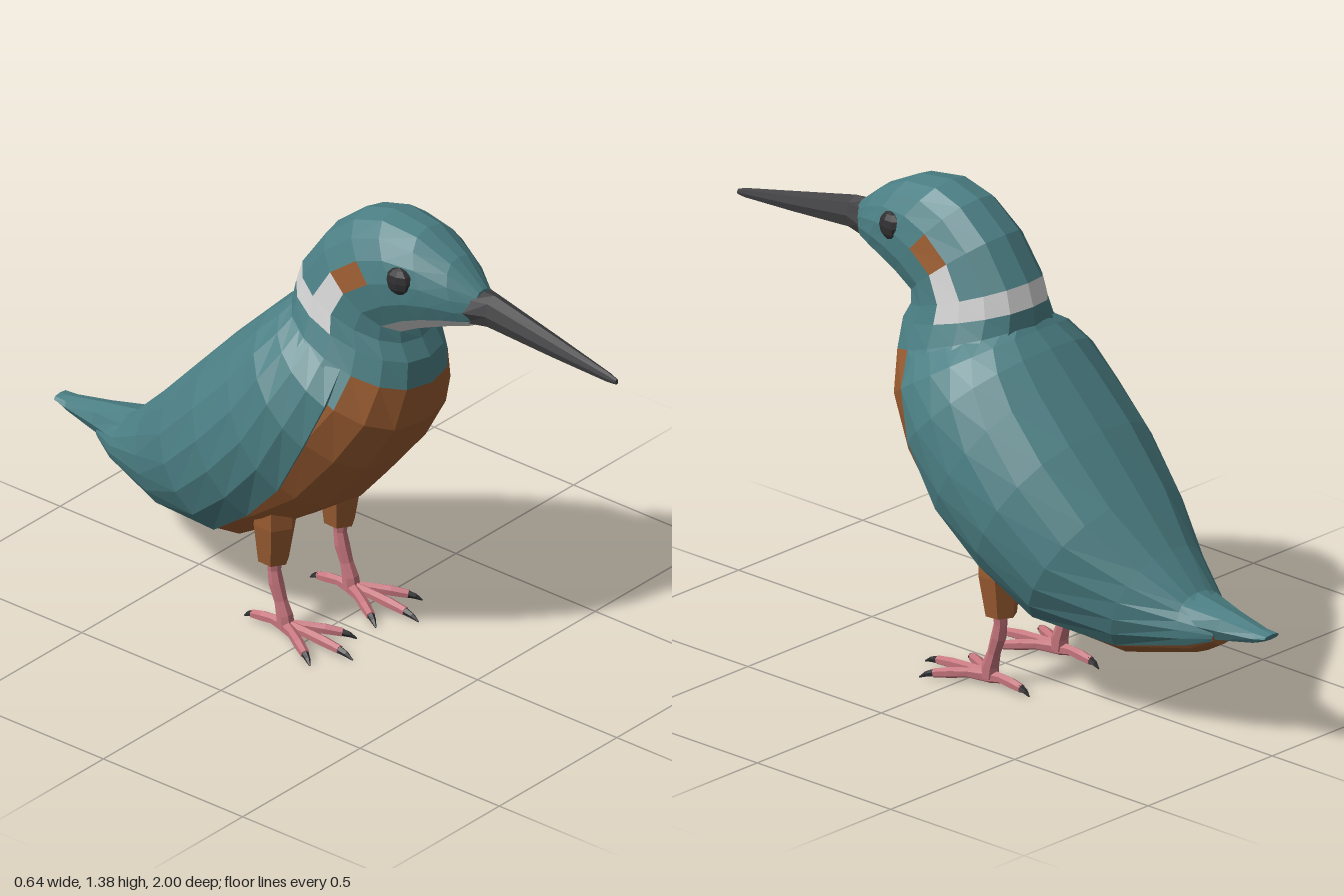
import * as THREE from 'three';

const mat = (name, color, extra = {}) =>
  Object.assign(new THREE.MeshStandardMaterial({ color, flatShading: true, ...extra }), { name });

// Skin a list of point rings; pick(i, j) gives the material index of each cell.
function loft(name, rings, mats, pick = () => 0) {
  const cells = mats.map(() => []);
  for (let i = 0; i < rings.length - 1; i++) {
    for (let j = 0; j < rings[i].length - 1; j++) {
      const a = rings[i][j], b = rings[i + 1][j], c = rings[i + 1][j + 1], d = rings[i][j + 1];
      cells[pick(i, j)].push(a, b, c, a, c, d);
    }
  }
  const geo = new THREE.BufferGeometry().setFromPoints(cells.flat());
  let start = 0;
  cells.forEach((c, k) => {
    geo.addGroup(start, c.length, k);
    start += c.length;
  });
  geo.computeVertexNormals();
  const mesh = new THREE.Mesh(geo, mats);
  mesh.name = name;
  return mesh;
}

// Angles round a closed section, starting and ending at the top.
const turn = (n) => Array.from({ length: n + 1 }, (_, k) => (k / n) * Math.PI * 2);

// Section from a back point to a belly point, given as [zTop, yTop, zBottom, yBottom, halfWidth].
function section([zt, yt, zb, yb, w], angles, scale = () => [1, 1]) {
  const cz = (zt + zb) / 2, cy = (yt + yb) / 2;
  return angles.map((t, k) => {
    const [sx, sy] = scale(t, k), s = Math.sin(t), c = Math.cos(t) * sy;
    return new THREE.Vector3(
      Math.sign(s) * Math.pow(Math.abs(s), 0.85) * w * sx, cy + (yt - cy) * c, cz + (zt - cz) * c);
  });
}

const centre = (ring) => {
  const pts = ring.slice(0, -1);
  const c = pts.reduce((sum, p) => sum.add(p), new THREE.Vector3()).divideScalar(pts.length);
  return ring.map(() => c);
};
const capped = (rings) => [centre(rings[0]), ...rings, centre(rings[rings.length - 1])];

// Tapered tube through [x, y, z, radius] points.
function limb(name, path, material, sides = 7) {
  const pts = path.map((p) => new THREE.Vector3(p[0], p[1], p[2]));
  const rings = pts.map((p, i) => {
    const t = pts[Math.min(i + 1, pts.length - 1)].clone().sub(pts[Math.max(i - 1, 0)]).normalize();
    const side = new THREE.Vector3(1, 0, 0).addScaledVector(t, -t.x).normalize();
    const up = t.clone().cross(side);
    return turn(sides).map((a) => p.clone()
      .addScaledVector(up, Math.cos(a) * path[i][3])
      .addScaledVector(side, Math.sin(a) * path[i][3]));
  });
  return loft(name, capped(rings), [material]);
}

export function createModel() {
  const teal = mat('teal plumage', 0x4b7f84);
  const tealCape = mat('teal cape', 0x4b7f84, { side: THREE.DoubleSide });
  const rust = mat('rust plumage', 0x9a5c31);
  const white = mat('white plumage', 0xd6d6d6);
  const dark = mat('beak grey', 0x424244);
  const black = mat('eye black', 0x303032);
  const pink = mat('leg pink', 0xc4757c);

  const bird = new THREE.Group();
  bird.name = 'bird';

  // Sections from rump to face
  const sections = [
    [-0.83, 0.36, -0.82, 0.285, 0.055],
    [-0.72, 0.41, -0.76, 0.25, 0.10],
    [-0.62, 0.51, -0.52, 0.19, 0.18],
    [-0.50, 0.64, -0.25, 0.22, 0.275],
    [-0.36, 0.79, -0.08, 0.32, 0.315],
    [-0.24, 0.91, 0.08, 0.43, 0.32],
    [-0.17, 0.98, 0.22, 0.60, 0.305],
    [-0.12, 1.02, 0.31, 0.75, 0.26],
    [-0.11, 1.035, 0.335, 0.88, 0.195],
    [-0.105, 1.085, 0.33, 0.96, 0.17],
    [-0.085, 1.15, 0.30, 1.01, 0.16],
    [0.00, 1.27, 0.29, 1.04, 0.152],
    [0.10, 1.35, 0.35, 1.07, 0.145],
    [0.20, 1.38, 0.40, 1.09, 0.135],
    [0.32, 1.365, 0.45, 1.11, 0.115],
    [0.43, 1.31, 0.50, 1.125, 0.08],
    [0.52, 1.24, 0.53, 1.14, 0.04],
  ];

  // Body and head, with belly, collar, cheek patch and throat coloured by cell
  const bodyRings = sections.map((s, i) =>
    section(s, turn(16), (t) => (i < 8 ? [0.95, Math.cos(t) > 0 ? 0.94 : 1] : [1, 1])));
  bird.add(loft('bodyAndHead', capped(bodyRings), [teal, rust, white], (ring, j) => {
    const i = ring - 1, c = Math.min(j, 15 - j);
    if (i < 8) return c >= (i === 7 ? 5 : 4) ? 1 : 0;
    if (i === 9) return c <= 3 ? 2 : 0;
    if (i === 10) return c === 3 ? 2 : 0;
    if (i === 11 && c === 3) return 1;
    return i >= 11 && c >= 6 ? 2 : 0;
  }));

  // Cape of folded wings: open below, with a lip turned in to the body
  const reach = [0.72, 0.78, 0.83, 0.87, 0.84, 0.78, 0.71, 0.65, 0.62];
  const capeRings = reach.map((f, i) => {
    const end = Math.acos(1 - 2 * f), n = 14;
    const angles = Array.from({ length: n + 1 }, (_, k) => -end + (2 * end * k) / n);
    const size = i === 8 ? 0.985 : 1;
    return section(sections[i], [-end, ...angles, end],
      (t, k) => (k === 0 || k === n + 2 ? [0.88, 0.95] : [size, size]));
  });
  bird.add(loft('wingCape', capeRings, [tealCape]));

  // Tail
  const tail = [
    [-1.0, 0.362, -0.995, 0.345, 0.03],
    [-0.96, 0.366, -0.95, 0.325, 0.034],
    [-0.85, 0.388, -0.83, 0.298, 0.055],
    [-0.72, 0.41, -0.70, 0.29, 0.095],
  ];
  bird.add(loft('tail', capped(tail.map((s) => section(s, turn(8)))), [teal]));

  // Beak
  const beak = [
    [0.42, 1.20, 0.42, 1.13, 0.085],
    [0.50, 1.235, 0.49, 1.13, 0.062],
    [0.56, 1.235, 0.56, 1.135, 0.04],
    [0.78, 1.185, 0.78, 1.122, 0.026],
    [0.97, 1.142, 0.97, 1.113, 0.011],
    [1.0, 1.132, 1.0, 1.115, 0.006],
  ];
  bird.add(loft('beak', capped(beak.map((s) => section(s, turn(8)))), [dark]));

  for (const side of [1, -1]) {
    const label = side > 0 ? 'left' : 'right';

    // Eye
    const eye = new THREE.Mesh(new THREE.SphereGeometry(0.042, 8, 6), black);
    eye.name = label + 'Eye';
    eye.scale.x = 0.55;
    eye.position.set(side * 0.12, 1.245, 0.32);
    eye.rotation.y = -side * 0.2;
    bird.add(eye);

    // Thigh, shank and foot
    const leg = new THREE.Group();
    leg.name = label + 'Leg';
    leg.position.x = side * 0.14;
    leg.add(limb('thigh', [[0, 0.22, -0.115, 0.045], [0, 0.34, -0.11, 0.062], [0, 0.44, -0.11, 0.06]], rust, 6));
    leg.add(limb('shank', [
      [0, 0.025, -0.07, 0.026], [0, 0.06, -0.075, 0.024], [0, 0.10, -0.088, 0.019],
      [0, 0.15, -0.105, 0.022], [0, 0.19, -0.112, 0.019], [0, 0.24, -0.11, 0.024],
    ], pink));

    // Toes with claws: three forward, one back
    for (const [dx, dz] of [[0, 0.24], [0.1, 0.17], [-0.1, 0.17], [0, -0.15]]) {
      const at = (f, y, r) => [dx * f, y, -0.07 + dz * f, r];
      leg.add(limb('toe', [at(0, 0.026, 0.021), at(0.3, 0.03, 0.015), at(0.55, 0.026, 0.016), at(0.8, 0.02, 0.013)], pink, 6));
      leg.add(limb('claw', [at(0.76, 0.022, 0.012), at(0.9, 0.015, 0.008), at(1, 0.004, 0.002)], black, 5));
    }
    bird.add(leg);
  }
  return bird;
}
